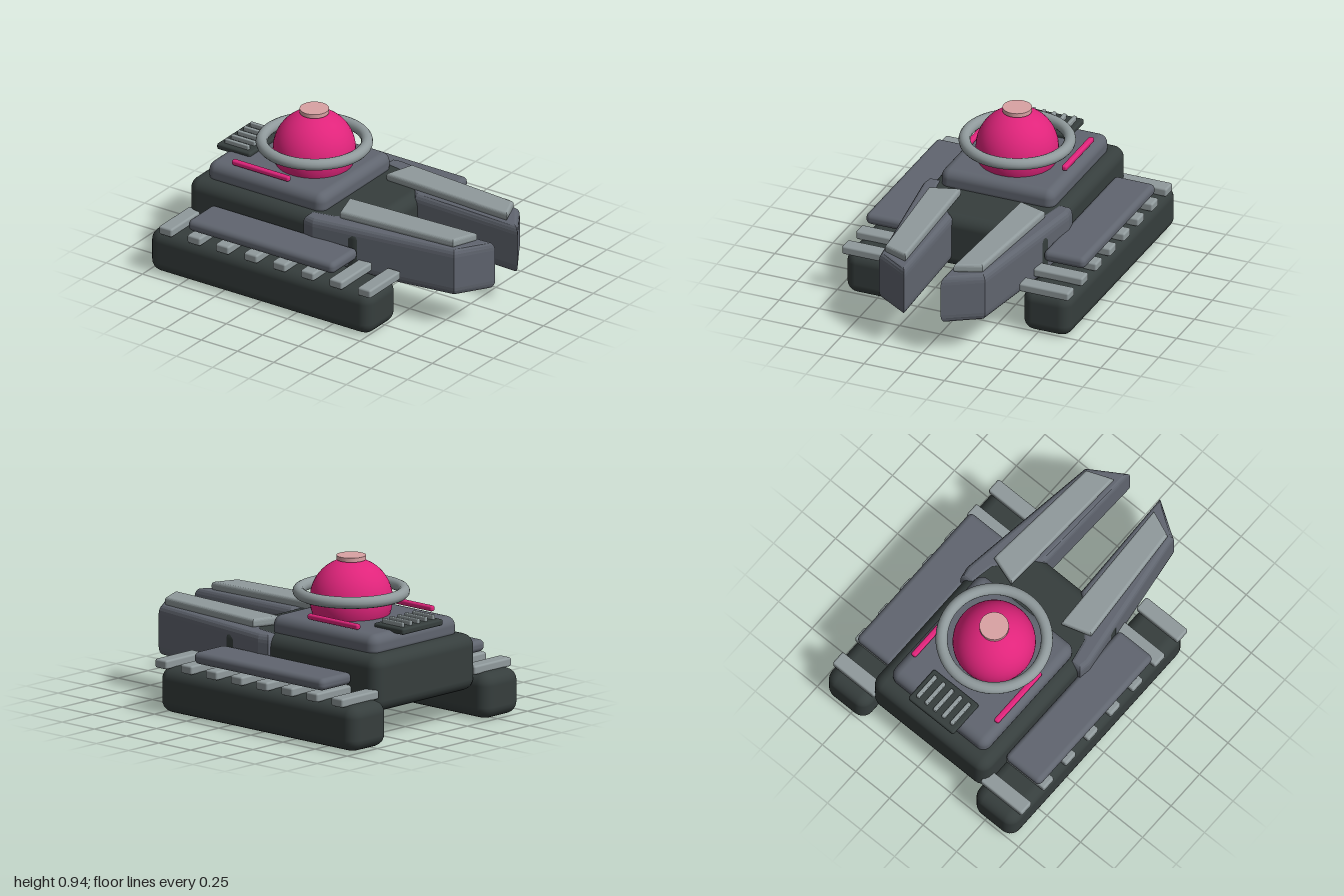
import * as THREE from 'three';
import { RoundedBoxGeometry } from 'three/addons/geometries/RoundedBoxGeometry.js';

const paint = (name, color) => {
  const m = new THREE.MeshStandardMaterial({ color });
  m.name = name;
  return m;
};

export function createModel() {
  const dark = paint('dark armour', 0x363e3d);
  const slate = paint('slate armour', 0x60656f);
  const light = paint('light trim', 0x909a9c);
  const pink = paint('pink glow', 0xe0247b);
  const pale = paint('pale cap', 0xdaa2a4);

  const model = new THREE.Group();
  model.name = 'vehicle';

  const add = (name, geometry, material, x = 0, y = 0, z = 0, parent = model) => {
    const mesh = new THREE.Mesh(geometry, material);
    mesh.name = name;
    mesh.position.set(x, y, z);
    parent.add(mesh);
    return mesh;
  };

  // Rounded box given by its extents on each axis
  const box = (name, material, [x0, x1], [y0, y1], [z0, z1], radius, parent) =>
    add(name, new RoundedBoxGeometry(x1 - x0, y1 - y0, z1 - z0, 3, radius), material,
      (x0 + x1) / 2, (y0 + y1) / 2, (z0 + z1) / 2, parent);

  // Plan outline (x, z) raised between two heights with rounded edges
  const slab = (name, material, outline, side, y0, y1, bevel, thick, parent) => {
    const shape = new THREE.Shape(outline.map(([x, z]) => new THREE.Vector2(x, -z * side)));
    const geometry = new THREE.ExtrudeGeometry(shape, {
      depth: y1 - y0 - 2 * thick, bevelSize: bevel, bevelOffset: -bevel,
      bevelThickness: thick, bevelSegments: 4,
    });
    geometry.rotateX(-Math.PI / 2);
    return add(name, geometry, material, 0, y0 + thick, 0, parent);
  };

  // Hull and raised deck
  box('hull', dark, [-0.92, 0.29], [0.17, 0.5], [-0.425, 0.425], 0.07);
  box('deck', slate, [-0.835, -0.03], [0.46, 0.6], [-0.355, 0.355], 0.055);

  // Dome, its cap and the ring around it
  const domeX = -0.33;
  add('dome', new THREE.SphereGeometry(0.237, 40, 28), pink, domeX, 0.68, 0);
  add('domeCap', new THREE.CylinderGeometry(0.084, 0.084, 0.025, 32), pale, domeX, 0.923, 0);
  const ring = add('domeRing', new THREE.TorusGeometry(0.3, 0.034, 14, 56), light, domeX, 0.726, 0);
  ring.rotation.x = Math.PI / 2;

  // Rear vent with slats
  const vent = new THREE.Group();
  vent.name = 'rearVent';
  model.add(vent);
  box('ventBase', dark, [-0.89, -0.66], [0.585, 0.622], [-0.168, 0.168], 0.012, vent);
  for (let i = -2; i <= 2; i++) {
    const z = i * 0.063;
    box('ventSlat', light, [-0.857, -0.693], [0.615, 0.648], [z - 0.011, z + 0.011], 0.006, vent);
  }

  // Parts repeated on both sides
  const prongOutline = [[-0.1, 0.36], [-0.1, 0.445], [-0.03, 0.457], [0.86, 0.33],
    [0.995, 0.113], [0.27, 0.133], [0.05, 0.33]];
  const plateOutline = [[0.04, 0.186], [0.095, 0.362], [0.835, 0.304], [0.896, 0.15]];
  for (const side of [1, -1]) {
    const group = new THREE.Group();
    group.name = side > 0 ? 'frontSide' : 'backSide';
    model.add(group);
    const span = (a, b) => (side > 0 ? [a, b] : [-b, -a]);

    box('track', dark, [-1, 0.525], [0, 0.265], span(0.4, 0.7), 0.07, group);
    for (let i = 0; i < 8; i++) {
      const x = -0.875 + i * 0.1957;
      box('treadBar', light, [x - 0.045, x + 0.045], [0.258, 0.31], span(0.397, 0.705), 0.012, group);
    }
    box('fender', slate, [-0.74, 0.267], [0.32, 0.39], span(0.425, 0.682), 0.03, group);
    box('glowBar', pink, [-0.68, -0.288], [0.608, 0.64], span(0.292, 0.325), 0.011, group);

    // Forward prong and its top plate; mirrored outline keeps its winding fixed by Shape
    slab('prong', slate, prongOutline, side, 0.213, 0.505, 0.028, 0.05, group);
    slab('prongPlate', light, plateOutline, side, 0.5, 0.552, 0.015, 0.018, group);
  }

  return model;
}
